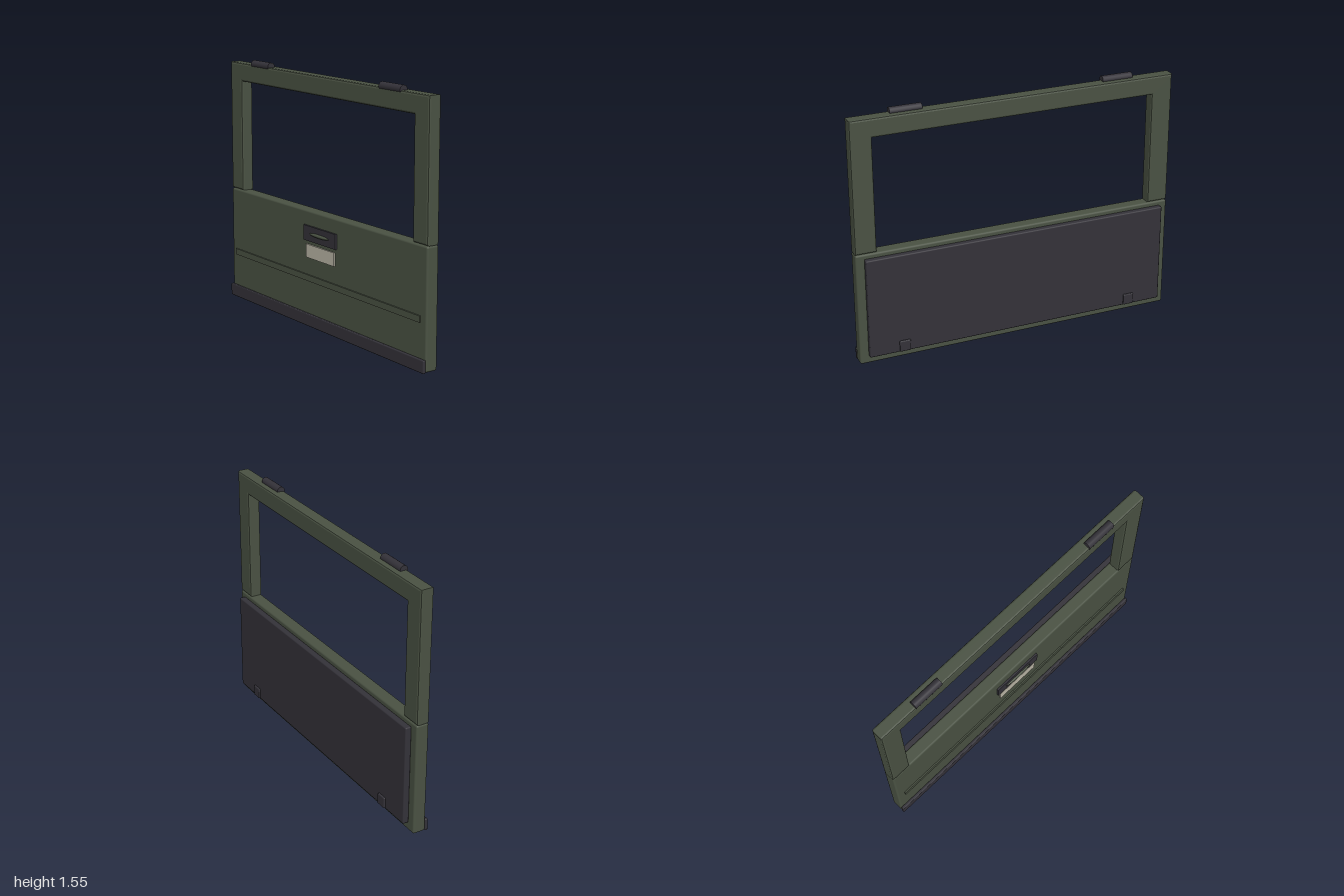
import * as THREE from 'three';
import { RoundedBoxGeometry } from 'three/addons/geometries/RoundedBoxGeometry.js';

const paint = new THREE.MeshStandardMaterial({ color: 0x4a5243 });
paint.name = 'green paint';
const dark = new THREE.MeshStandardMaterial({ color: 0x343239 });
dark.name = 'dark trim';
const pale = new THREE.MeshStandardMaterial({ color: 0xbbb6a7 });
pale.name = 'pale plate';

export function createModel() {
  const tailgate = new THREE.Group();
  tailgate.name = 'tailgate';

  const add = (name, geometry, material, x = 0, y = 0, z = 0) => {
    const mesh = new THREE.Mesh(geometry, material);
    mesh.name = name;
    mesh.position.set(x, y, z);
    tailgate.add(mesh);
    return mesh;
  };

  // Box given by its limits, with rounded edges when r > 0
  const box = (name, material, [x0, x1], [y0, y1], [z0, z1], r = 0) => {
    const size = [x1 - x0, y1 - y0, z1 - z0];
    const geometry = r ? new RoundedBoxGeometry(...size, 2, r) : new THREE.BoxGeometry(...size);
    return add(name, geometry, material, (x0 + x1) / 2, (y0 + y1) / 2, (z0 + z1) / 2);
  };

  // Lower door panel
  box('lowerPanel', paint, [-1, 1], [0.005, 0.711], [-0.029, 0.051], 0.012);

  // Window frame: an upside-down U with bevelled edges
  const b = 0.012;
  const outline = [
    [-1, 0.713], [-0.87, 0.713], [-0.87, 1.41], [0.87, 1.41],
    [0.87, 0.713], [1, 0.713], [1, 1.525], [-1, 1.525],
  ];
  const inset = [[1, 1], [-1, 1], [-1, 1], [1, 1], [1, 1], [-1, 1], [-1, -1], [1, -1]];
  const shape = new THREE.Shape(outline.map(([x, y], i) =>
    new THREE.Vector2(x + inset[i][0] * b, y + inset[i][1] * b)));
  const frame = new THREE.ExtrudeGeometry(shape, {
    depth: 0.08 - 2 * b, bevelEnabled: true, bevelSize: b, bevelThickness: b, bevelSegments: 2,
  });
  add('windowFrame', frame, paint, 0, 0, -0.029 + b);

  // Front trim: bumper strip, raised rib, plate and handle
  box('bumperStrip', dark, [-1, 1], [0.002, 0.078], [0.05, 0.069], 0.006);
  box('raisedRib', paint, [-0.95, 0.95], [0.28, 0.318], [0.05, 0.06]);
  box('plate', pale, [-0.145, 0.145], [0.425, 0.507], [0.05, 0.0595]);
  box('handleBase', dark, [-0.165, 0.165], [0.53, 0.622], [0.05, 0.063]);
  const handle = add('handle', new THREE.SphereGeometry(1, 24, 12), paint, 0, 0.577, 0.064);
  handle.scale.set(0.1, 0.011, 0.012);

  // Inner lining on the back
  box('innerLining', dark, [-0.95, 0.95], [0.058, 0.685], [-0.067, -0.028], 0.008);

  // Latches and hinges, mirrored
  for (const s of [-1, 1]) {
    const cx = s * 0.735;
    box('latch', dark, [cx - 0.034, cx + 0.034], [0.063, 0.132], [-0.078, -0.06], 0.006);
    const hinge = add('hinge', new THREE.CylinderGeometry(0.025, 0.025, 0.192, 16), dark, s * 0.656, 1.529, 0.029);
    hinge.rotation.z = Math.PI / 2;
  }

  return tailgate;
}
